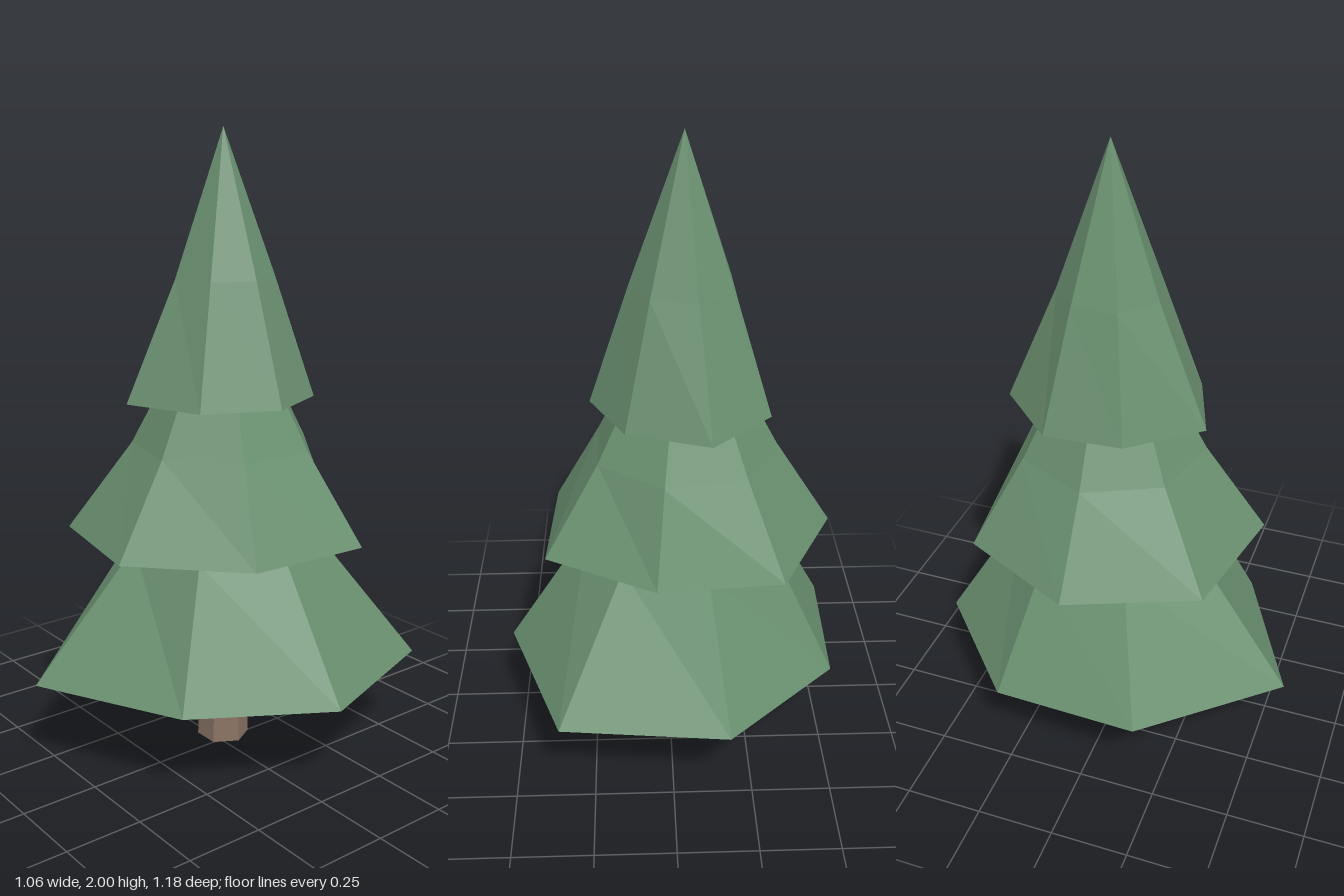
import * as THREE from 'three';

const SIDES = 7;
const AXIS = -0.043; // the trunk line sits slightly off centre in x and z

const foliage = new THREE.MeshStandardMaterial({ color: 0x6a9070, flatShading: true });
foliage.name = 'foliage green';
const bark = new THREE.MeshStandardMaterial({ color: 0x8a7364, flatShading: true });
bark.name = 'bark brown';

// One tier: uneven hem, regular inner ring, pointed tip and flat underside
function tierGeometry({ hem, start, y, ringY, ringR, tipY }) {
  const at = (i, r, h) => {
    const a = ((i + start) / SIDES) * Math.PI * 2;
    return [Math.cos(a) * r, h, Math.sin(a) * r];
  };
  const points = [];
  for (let i = 0; i < SIDES; i++) {
    const j = i + 1;
    const a = at(i, hem[i], y), b = at(j, hem[j % SIDES], y);
    const c = at(i, ringR, ringY), d = at(j, ringR, ringY);
    points.push(...a, ...c, ...d); // skirt
    points.push(...a, ...d, ...b);
    points.push(...c, 0, tipY, 0, ...d); // tip
    points.push(0, y, 0, ...a, ...b); // underside
  }
  const geometry = new THREE.BufferGeometry();
  geometry.setAttribute('position', new THREE.Float32BufferAttribute(points, 3));
  geometry.computeVertexNormals();
  return geometry;
}

const TIERS = [
  { name: 'lowerFoliage', start: 0, y: 0.3, ringY: 0.71, ringR: 0.31, tipY: 1.2,
    hem: [0.573, 0.52, 0.65, 0.543, 0.528, 0.565, 0.636] },
  { name: 'middleFoliage', start: 0.5, y: 0.735, ringY: 1.02, ringR: 0.294, tipY: 1.58,
    hem: [0.456, 0.49, 0.505, 0.475, 0.47, 0.41, 0.48] },
  { name: 'topFoliage', start: 0, y: 1.173, ringY: 1.547, ringR: 0.163, tipY: 2,
    hem: [0.287, 0.295, 0.328, 0.273, 0.288, 0.323, 0.288] },
];

export function createModel() {
  const tree = new THREE.Group();
  tree.name = 'pineTree';

  // Tapered six-sided trunk with corners on the x axis
  const trunk = new THREE.Mesh(
    new THREE.CylinderGeometry(0.073, 0.086, 0.34, 6, 1, false, Math.PI / 6 * 3), bark);
  trunk.name = 'trunk';
  trunk.position.set(AXIS, 0.17, AXIS);
  tree.add(trunk);

  // Three stacked tiers of foliage
  for (const tier of TIERS) {
    const mesh = new THREE.Mesh(tierGeometry(tier), foliage);
    mesh.name = tier.name;
    mesh.position.set(AXIS, 0, AXIS);
    tree.add(mesh);
  }
  return tree;
}
